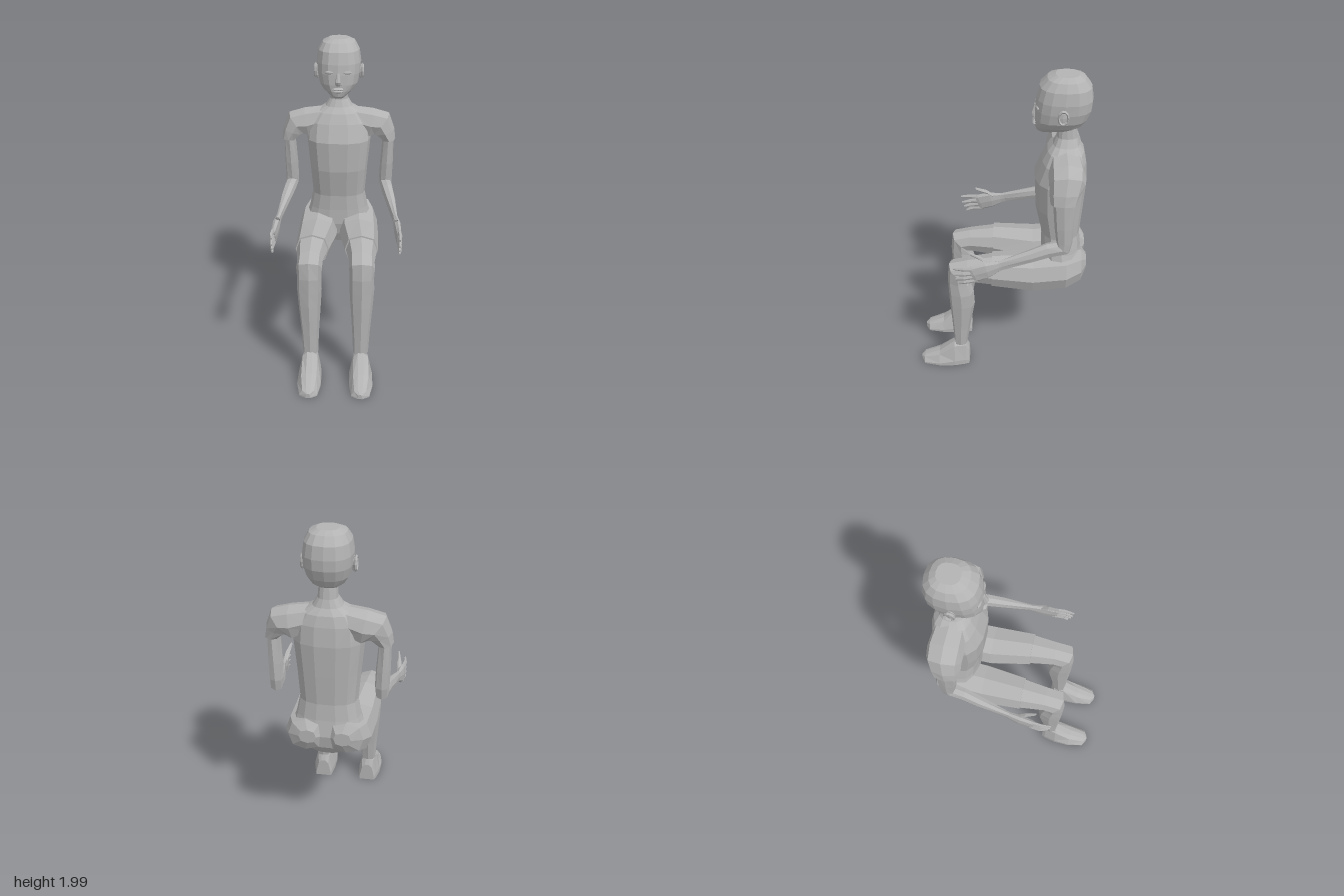
import * as THREE from 'three';

const skin = new THREE.MeshStandardMaterial({ color: 0xb3b3b3 });
skin.name = 'plain grey';
const rad = Math.PI / 180;
const pow = (v, e) => Math.sign(v) * Math.abs(v) ** e;

// Rounded cross-section; pitch 0 faces down, 90 faces forward; roll 90 faces sideways.
function ring(x, y, z, ru, rv, pitch = 0, roll = 0, n = 8, e = 0.8) {
  const p = pitch * rad, r = roll * rad, pts = [];
  for (let k = 0; k < n; k++) {
    const a = (k / n) * Math.PI * 2;
    const c = pow(Math.cos(a), e) * ru, s = pow(Math.sin(a), e) * rv;
    pts.push([x + c * Math.cos(r), y + c * Math.sin(r) + s * Math.sin(p), z + s * Math.cos(p)]);
  }
  return pts;
}

// Horizontal section given by its front and back depth.
const level = ([y, rx, zf, zb], n, grow = 0) =>
  ring(0, y, (zf + zb) / 2, rx + grow, (zf - zb) / 2 + grow, 0, 0, n);

// Faceted skin over a row of sections; side = -1 mirrors it.
function loft(rings, side = 1, skip = () => false, caps = true) {
  const pos = [];
  const tri = (a, b, c) => {
    for (const p of side > 0 ? [a, b, c] : [a, c, b]) pos.push(p[0] * side, p[1], p[2]);
  };
  const n = rings[0].length;
  const mid = r => [0, 1, 2].map(i => r.reduce((s, p) => s + p[i], 0) / n);
  for (let i = 0; i < rings.length - 1; i++) {
    for (let k = 0; k < n; k++) {
      if (skip(i, k)) continue;
      const j = (k + 1) % n, A = rings[i], B = rings[i + 1];
      tri(A[k], A[j], B[j]);
      tri(A[k], B[j], B[k]);
    }
  }
  const first = rings[0], last = rings[rings.length - 1];
  for (let k = 0; k < n; k++) {
    const j = (k + 1) % n;
    tri(mid(first), first[j], first[k]);
    if (caps) tri(mid(last), last[k], last[j]);
  }
  const g = new THREE.BufferGeometry();
  g.setAttribute('position', new THREE.Float32BufferAttribute(pos, 3));
  g.computeVertexNormals();
  return g;
}

function faceted(g) {
  const f = g.toNonIndexed();
  f.computeVertexNormals();
  return f;
}

export function createModel() {
  const model = new THREE.Group();
  model.name = 'seatedFigure';
  const add = (name, geometry) => {
    const m = new THREE.Mesh(geometry, skin);
    m.name = name;
    model.add(m);
    return m;
  };

  // Torso with neck, from the throat down to the pelvis
  add('torso', loft([
    [1.7, 0.05, -0.315, -0.425], [1.62, 0.056, -0.315, -0.435],
    [1.575, 0.085, -0.295, -0.45], [1.54, 0.145, -0.265, -0.475],
    [1.48, 0.19, -0.235, -0.49], [1.37, 0.2, -0.195, -0.5],
    [1.18, 0.182, -0.205, -0.49], [1.0, 0.168, -0.245, -0.478],
    [0.9, 0.188, -0.25, -0.488], [0.8, 0.22, -0.25, -0.505],
    [0.72, 0.19, -0.27, -0.49], [0.66, 0.1, -0.3, -0.45],
  ].map(r => level(r, 14))));

  // Head and the slightly raised hair cap
  const skull = [
    [1.994, 0.055, -0.3, -0.42], [1.975, 0.095, -0.255, -0.455],
    [1.93, 0.12, -0.214, -0.49], [1.86, 0.13, -0.195, -0.502],
    [1.8, 0.127, -0.188, -0.498], [1.74, 0.114, -0.186, -0.475],
    [1.7, 0.088, -0.188, -0.45], [1.67, 0.058, -0.195, -0.41],
    [1.655, 0.035, -0.21, -0.34],
  ];
  add('head', loft(skull.map(r => level(r, 16))));
  add('hair', loft(skull.slice(0, 7).map(r => level(r, 16, 0.005)), 1,
    (i, k) => i >= 2 && k >= 2 && k <= 5, false));

  // Nose and lips
  add('nose', loft([
    ring(0, 1.815, -0.191, 0.01, 0.006), ring(0, 1.762, -0.186, 0.017, 0.02),
    ring(0, 1.745, -0.187, 0.02, 0.013), ring(0, 1.738, -0.19, 0.012, 0.006),
  ]));
  for (const [name, y, w] of [['upperLip', 1.718, 0.036], ['lowerLip', 1.703, 0.03]]) {
    add(name, loft([
      ring(0, y + 0.008, -0.191, w * 0.6, 0.006), ring(0, y, -0.19, w, 0.014),
      ring(0, y - 0.008, -0.192, w * 0.6, 0.006),
    ]));
  }

  for (const s of [1, -1]) {
    const label = s > 0 ? 'left' : 'right';
    const put = (name, rings) => add(label + name, loft(rings, s));

    // Eye and ear
    const eye = add(label + 'Eye', faceted(new THREE.SphereGeometry(1, 8, 6)));
    eye.scale.set(0.026, 0.01, 0.008);
    eye.position.set(0.055 * s, 1.815, -0.2);
    eye.rotation.y = 0.2 * s;
    const ear = add(label + 'Ear', faceted(new THREE.SphereGeometry(1, 8, 6)));
    ear.scale.set(0.012, 0.045, 0.028);
    ear.position.set(0.132 * s, 1.795, -0.337);
    const rim = add(label + 'EarRim', faceted(new THREE.TorusGeometry(0.026, 0.006, 4, 10).rotateY(Math.PI / 2)));
    rim.scale.set(1.5, 1.5, 1);
    rim.position.set(0.142 * s, 1.797, -0.339);

    // Shoulder cap running outward, then down to the sleeve hem
    put('Shoulder', [
      ring(0.09, 1.49, -0.37, 0.075, 0.095, 0, 85), ring(0.2, 1.46, -0.375, 0.092, 0.105, 0, 80),
      ring(0.262, 1.455, -0.372, 0.085, 0.1, 0, 52), ring(0.288, 1.41, -0.362, 0.063, 0.088, 0, 17),
      ring(0.315, 1.36, -0.357, 0.042, 0.076, 0, 5),
    ]);

    // Bent arm down to the wrist
    put('Arm', [
      ring(0.311, 1.37, -0.357, 0.035, 0.062), ring(0.305, 1.2, -0.365, 0.041, 0.055),
      ring(0.302, 1.1, -0.37, 0.041, 0.048, 10), ring(0.303, 1.055, -0.365, 0.039, 0.05, 40),
      ring(0.312, 1.04, -0.28, 0.037, 0.043, 72), ring(0.33, 1.01, -0.18, 0.032, 0.038, 72),
      ring(0.356, 0.96, -0.015, 0.016, 0.034, 72), ring(0.359, 0.952, 0.01, 0.016, 0.034, 75),
    ]);

    // Palm, four fingers and thumb
    put('Palm', [
      ring(0.359, 0.955, 0, 0.016, 0.034, 75), ring(0.368, 0.933, 0.07, 0.022, 0.055, 75),
      ring(0.375, 0.908, 0.145, 0.017, 0.058, 70), ring(0.376, 0.902, 0.16, 0.012, 0.052, 70),
    ]);
    const tips = [[0.945, 0.268], [0.9, 0.262], [0.868, 0.252], [0.84, 0.235]];
    tips.forEach(([y, z], i) => {
      const base = 0.945 - i * 0.027;
      put('Finger' + (i + 1), [
        ring(0.375, base, 0.13, 0.012, 0.016, 75, 0, 6),
        ring(0.382, (base + y) / 2, 0.205, 0.011, 0.013, 75, 0, 6),
        ring(0.377, y, z, 0.006, 0.007, 75, 0, 6),
      ]);
    });
    put('Thumb', [
      ring(0.362, 0.955, 0.04, 0.014, 0.025, 55, 0, 6),
      ring(0.354, 0.998, 0.095, 0.014, 0.02, 50, 0, 6),
      ring(0.343, 1.028, 0.168, 0.007, 0.011, 70, 0, 6),
    ]);

    // Buttock and thigh in shorts
    const thigh = ([z, x, w, top, low]) => ring(x, (top + low) / 2, z, w, (top - low) / 2, 90);
    put('Shorts', [
      [-0.523, 0.1, 0.05, 0.85, 0.765], [-0.49, 0.117, 0.1, 0.9, 0.7],
      [-0.4, 0.13, 0.123, 0.885, 0.655], [-0.2, 0.135, 0.125, 0.865, 0.635],
      [0.05, 0.152, 0.103, 0.867, 0.673],
    ].map(thigh));

    // Bare leg from thigh over the knee to the ankle
    put('Leg', [
      thigh([0.03, 0.152, 0.098, 0.86, 0.68]), thigh([0.2, 0.156, 0.077, 0.835, 0.698]),
      ring(0.158, 0.752, 0.258, 0.077, 0.078, 45), ring(0.158, 0.685, 0.255, 0.073, 0.071, 12),
      ring(0.159, 0.6, 0.243, 0.075, 0.078), ring(0.159, 0.5, 0.239, 0.069, 0.079),
      ring(0.157, 0.3, 0.25, 0.054, 0.056), ring(0.156, 0.16, 0.257, 0.047, 0.042),
    ]);

    // Foot with flat sole
    const sole = [[1, 0], [1, 0.2], [0.65, 0.85], [0.25, 1], [-0.25, 1], [-0.65, 0.85], [-1, 0.2], [-1, 0]];
    put('Foot', [
      [0.203, 0.152, 0.05, 0.12], [0.225, 0.154, 0.058, 0.175], [0.298, 0.158, 0.071, 0.175],
      [0.4, 0.16, 0.073, 0.087], [0.5, 0.158, 0.055, 0.045], [0.523, 0.158, 0.015, 0.03],
    ].map(([z, x, w, h]) => sole.map(([u, v]) => [x + u * w, v * h, z])));
  }
  return model;
}
